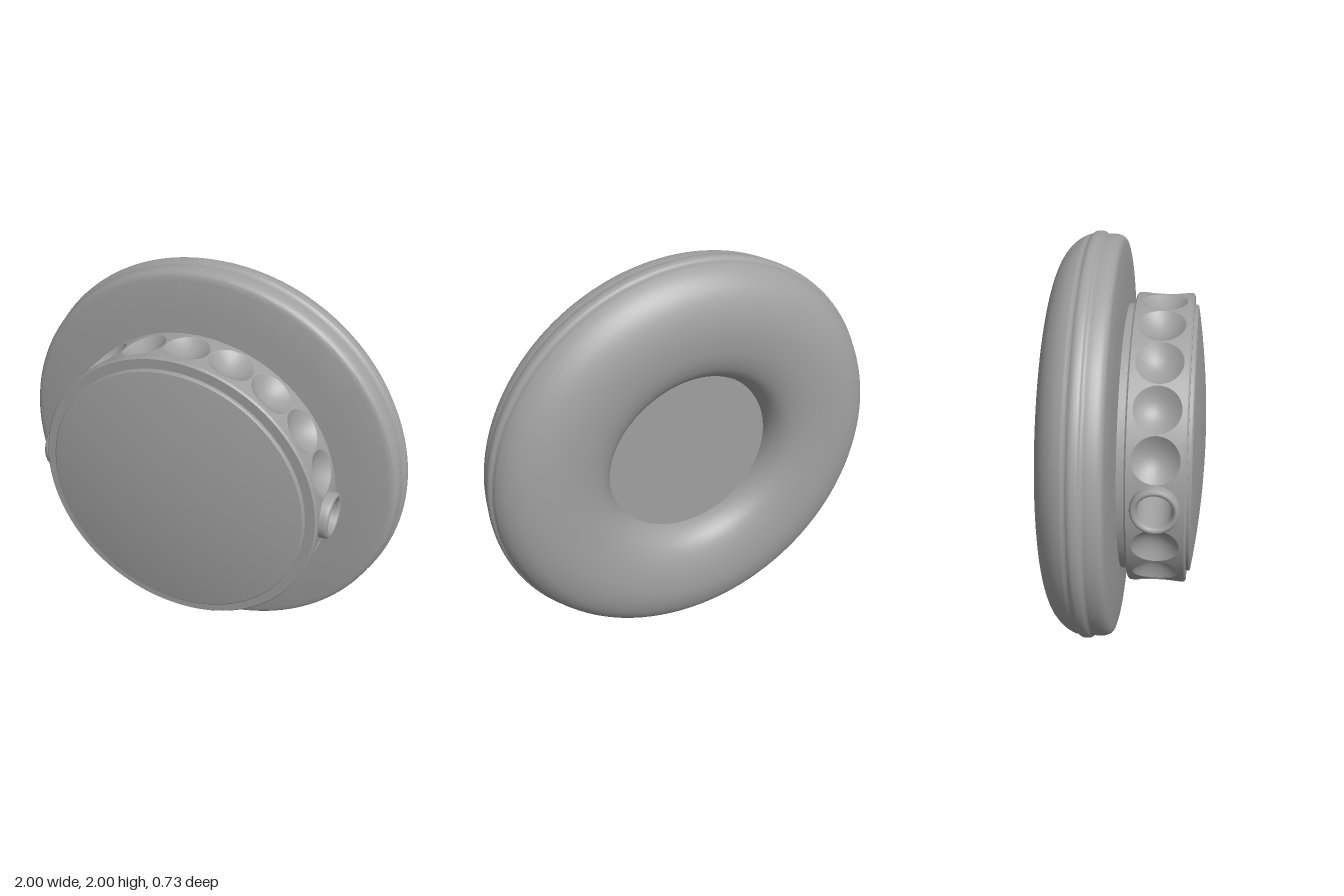
import * as THREE from 'three';
import { mergeGeometries, toCreasedNormals } from 'three/addons/utils/BufferGeometryUtils.js';

const DRUM_R = 0.71, DRUM_Z = 0.155, DRUM_HALF = 0.13, CELLS = 20;
const DIMPLE_R = 0.108, DIMPLE_DEPTH = 0.052;

// Lathe whose axis points along +z; profile points are [radius, z]
function turned(points, segments = 128, crease = 0.45) {
  const profile = points.map(([r, z]) => new THREE.Vector2(r, z));
  return toCreasedNormals(new THREE.LatheGeometry(profile, segments).rotateX(Math.PI / 2), crease);
}

// Smooth profile through a few points
function smooth(points, count) {
  return new THREE.SplineCurve(points.map(([r, z]) => new THREE.Vector2(r, z)))
    .getPoints(count).map(p => [p.x, p.y]);
}

// One patch of the drum wall: a round dimple (or an opening) inside a rectangle
function wallCell(angle, open) {
  const N = 48, positions = [], index = [];
  const halfArc = Math.PI / CELLS;
  const rings = open ? [1] : [0, 0.15, 0.3, 0.45, 0.6, 0.75, 0.88, 1];
  const put = (arc, z, r) => positions.push(
    r * Math.cos(angle + arc), r * Math.sin(angle + arc), DRUM_Z + z);
  for (const t of rings) {
    for (let i = 0; i < N; i++) {
      const a = (i / N) * Math.PI * 2;
      put(Math.cos(a) * t * DIMPLE_R / DRUM_R, Math.sin(a) * t * DIMPLE_R,
        DRUM_R - (open ? 0 : DIMPLE_DEPTH * (1 - t * t)));
    }
  }
  for (let i = 0; i < N; i++) {
    const a = (i / N) * Math.PI * 2, c = Math.cos(a), s = Math.sin(a);
    const m = Math.max(Math.abs(c), Math.abs(s));
    put(c / m * halfArc, s / m * DRUM_HALF, DRUM_R);
  }
  for (let k = 0; k < rings.length; k++) {
    for (let i = 0; i < N; i++) {
      const j = (i + 1) % N;
      const a = k * N + i, b = k * N + j, c = a + N, d = b + N;
      index.push(a, c, d);
      if (rings[k] > 0) index.push(a, d, b);
    }
  }
  const g = new THREE.BufferGeometry();
  g.setAttribute('position', new THREE.Float32BufferAttribute(positions, 3));
  g.setIndex(index);
  return g;
}

export function createModel() {
  const grey = new THREE.MeshStandardMaterial({ color: 0xa0a0a0 });
  grey.name = 'grey';
  const model = new THREE.Group();
  model.name = 'earCup';
  const add = (name, geometry) => {
    const mesh = new THREE.Mesh(geometry, grey);
    mesh.name = name;
    mesh.position.y = 1;
    model.add(mesh);
    return mesh;
  };

  // Soft ring cushion with a raised seam around its rim
  add('cushion', turned([
    ...smooth([[0.42, -0.19], [0.435, -0.25], [0.485, -0.315], [0.58, -0.355], [0.7, -0.368],
      [0.8, -0.358], [0.89, -0.325], [0.95, -0.275], [0.98, -0.225], [0.984, -0.205],
      [0.997, -0.188], [1, -0.17], [0.997, -0.15], [0.986, -0.135], [0.987, -0.11],
      [0.982, -0.075], [0.967, -0.052], [0.94, -0.043]], 60),
    [0.8, -0.03], [0.64, -0.02],
  ], 144, 0.9));

  // Flat plate at the bottom of the cushion opening
  add('innerPlate', turned([[0, -0.2], [0.435, -0.2]]));

  // Neck between cushion and drum
  add('neck', turned([[0.655, -0.03], [0.655, 0.025]]));

  // Dimpled drum wall; the cells at the two sides are open
  const cells = [];
  for (let i = 0; i < CELLS; i++) {
    cells.push(wallCell((i / CELLS) * Math.PI * 2, i % (CELLS / 2) === 0));
  }
  add('dimpledWall', toCreasedNormals(mergeGeometries(cells), 0.4));

  // Bevelled rims of the drum
  const z0 = DRUM_Z - DRUM_HALF, z1 = DRUM_Z + DRUM_HALF;
  add('drumBackRim', turned([[0.64, z0 - 0.008], [0.702, z0 - 0.008], [DRUM_R, z0]], 120));
  add('drumFrontRim', turned([[DRUM_R, z1], [0.702, z1 + 0.008], [0.64, z1 + 0.008]], 120));

  // Stepped front cap with a shallow dome
  const dome = [];
  for (let i = 0; i <= 12; i++) {
    const r = 0.6 * (1 - i / 12);
    dome.push([r, 0.367 - 0.046 * (r / 0.6) ** 2]);
  }
  add('frontCap', turned([[0.655, 0.285], [0.655, 0.307], [0.648, 0.313], ...dome]));

  // Side grommets, each lining half of the bore through the drum
  for (const side of [1, -1]) {
    const profile = [[0.112, 0.66], [0.112, 0.73], [0.109, 0.742], [0.101, 0.75], [0.092, 0.75],
      [0.084, 0.744], [0.08, 0.732], [0.08, 0]].map(([r, y]) => new THREE.Vector2(r, y));
    const g = new THREE.LatheGeometry(profile, 48).rotateZ(-side * Math.PI / 2);
    const mesh = add(side > 0 ? 'leftGrommet' : 'rightGrommet', toCreasedNormals(g, 0.8));
    mesh.position.z = DRUM_Z;
  }
  return model;
}
